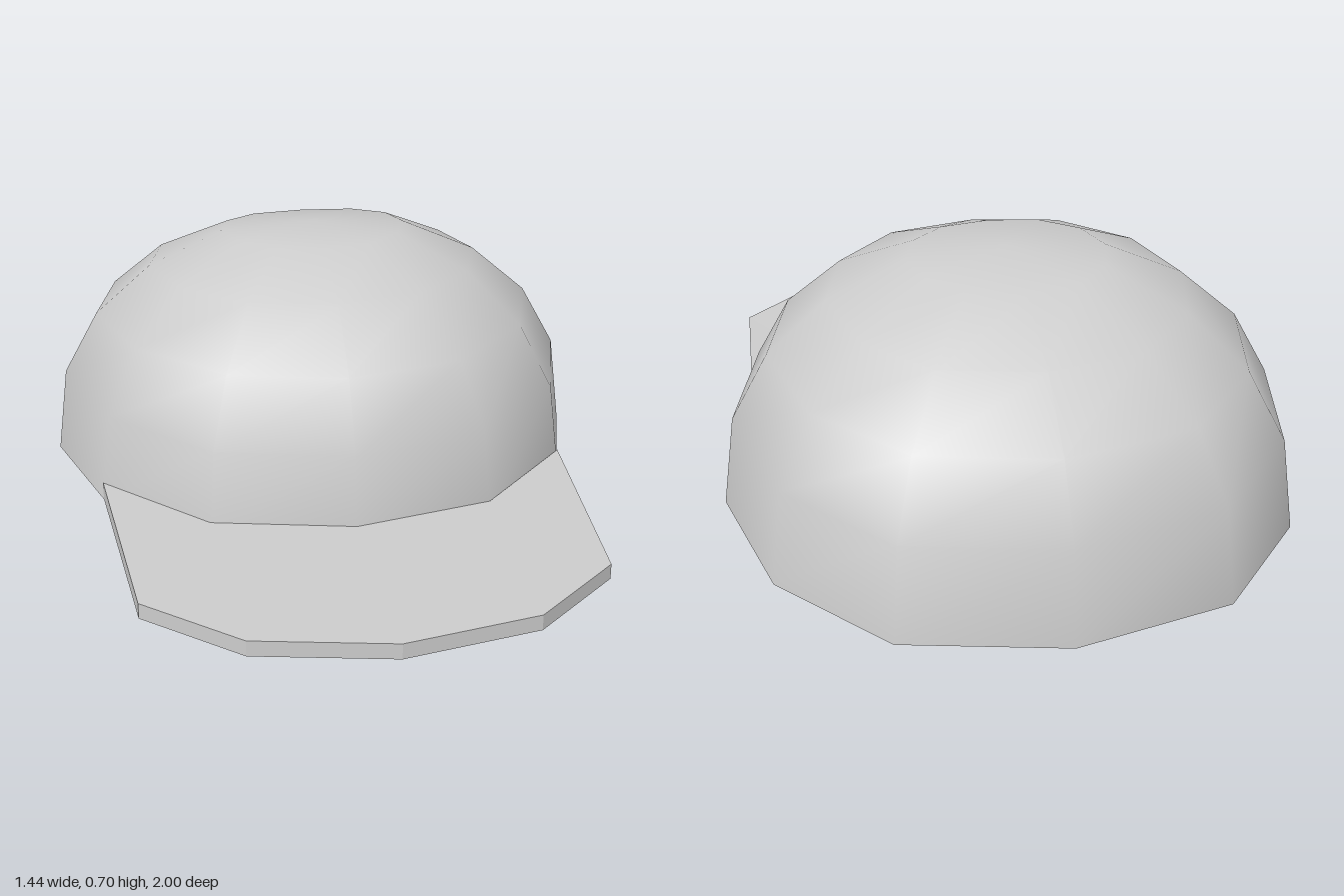
import * as THREE from 'three';
import { mergeVertices } from 'three/addons/utils/BufferGeometryUtils.js';

const CENTRE_Z = -0.28;

// Outline of the crown opening around its centre, front to back on the left side
const HALF = [[0, 0.715], [0.36, 0.635], [0.615, 0.37], [0.72, 0], [0.64, -0.37], [0.4, -0.635], [0, -0.72]];
const OUTLINE = [...HALF, ...HALF.slice(1, -1).reverse().map(([x, z]) => [-x, z])];

// Joins rows of points into a closed-around surface.
function loft(rows, flat) {
  const n = rows[0].length;
  const index = [];
  for (let r = 0; r < rows.length - 1; r++) {
    for (let i = 0; i < n; i++) {
      const j = (i + 1) % n;
      const a = r * n + i, b = r * n + j, c = a + n, d = b + n;
      index.push(a, b, d, a, d, c);
    }
  }
  const geometry = new THREE.BufferGeometry();
  geometry.setAttribute('position', new THREE.Float32BufferAttribute(rows.flat(2), 3));
  geometry.setIndex(index);
  const result = flat ? geometry.toNonIndexed() : mergeVertices(geometry);
  result.computeVertexNormals();
  return result;
}

// Scaled copy of the outline, tilted and bent from front to back.
function ring({ sx, sz, y, tilt, bend }) {
  return OUTLINE.map(([x, z]) => {
    const c = z / 0.715;
    return [x * sx, y + tilt * c - bend * c * c, CENTRE_Z + z * sz];
  });
}

export function createModel() {
  const group = new THREE.Group();
  const material = new THREE.MeshStandardMaterial({ color: 0xcccccc });
  const add = (name, geometry) => {
    const mesh = new THREE.Mesh(geometry, material);
    mesh.name = name;
    group.add(mesh);
  };

  // Crown, from the opening to the top
  const opening = { sx: 1, sz: 1, y: 0.065, tilt: 0.04, bend: 0.025 };
  const inside = { ...opening, sx: 0.88, sz: 0.88 };
  add('crown', loft([
    opening,
    { sx: 0.96, sz: 0.958, y: 0.295, tilt: 0.035, bend: 0.02 },
    { sx: 0.833, sz: 0.815, y: 0.46, tilt: 0.032, bend: 0.017 },
    { sx: 0.625, sz: 0.595, y: 0.59, tilt: 0.03, bend: 0.01 },
    { sx: 0.347, sz: 0.3, y: 0.68, tilt: 0.015, bend: 0.01 },
    { sx: 0, sz: 0, y: 0.695, tilt: 0, bend: 0 },
  ].map(ring)));

  // Flat rim around the opening
  add('rim', loft([inside, opening].map(ring), true));

  // Shallow hollow, from its middle out to the rim
  add('lining', loft([
    { sx: 0, sz: 0, y: 0.28, tilt: 0, bend: 0 },
    { sx: 0.55, sz: 0.55, y: 0.21, tilt: 0.03, bend: 0.01 },
    inside,
  ].map(ring)));

  // Brim: one four-cornered section per front corner, from right to left
  const edge = [[-0.565, 0.725], [-0.34, 0.93], [0, 1], [0.34, 0.93], [0.565, 0.725]];
  const corners = [...OUTLINE.slice(-2), ...OUTLINE.slice(0, 3)];
  const sections = edge.map(([x, z], i) => {
    const ix = corners[i][0], iz = CENTRE_Z + corners[i][1] - 0.005;
    const rise = 0.015 * z;
    return [
      [ix, 0.125, iz],
      [x, 0.12 + rise, z],
      [x, 0.08 + rise, z],
      [ix, 0.078, iz],
    ];
  });
  // Close both ends of the brim at the middle of the end section
  const cap = (section) => {
    const mid = [0, 1, 2].map((k) => section.reduce((sum, p) => sum + p[k] / 4, 0));
    return section.map(() => mid);
  };
  add('brim', loft([cap(sections[0]), ...sections, cap(sections[4])], true));

  return group;
}
